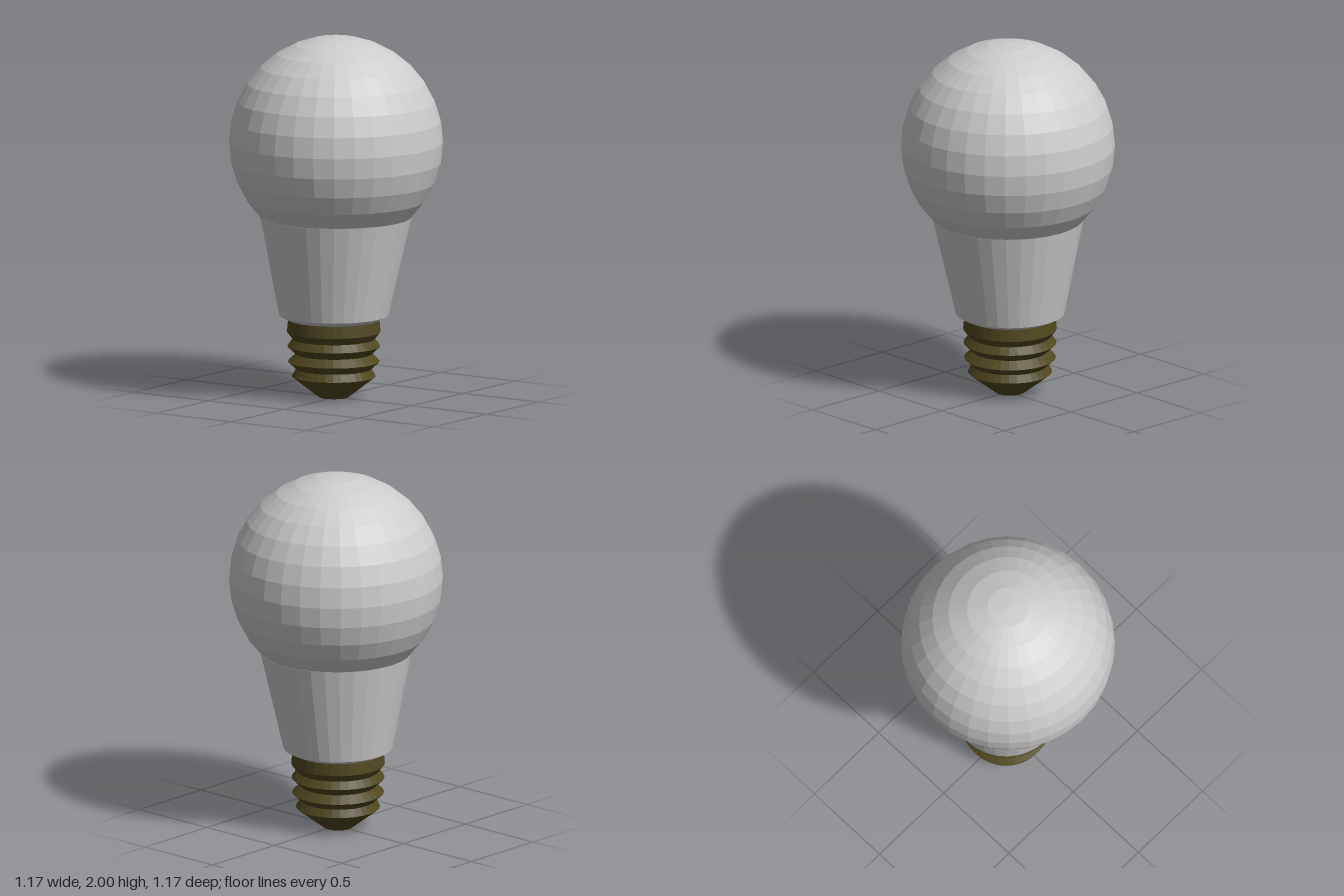
import * as THREE from 'three';

const SIDES = 32;
const LEAN = -0.015; // the lower body sits slightly off the globe's axis

// Faceted turned part; profile is [radius, height] from bottom to top
function turned(name, profile, material) {
  const points = profile.map(([r, y]) => new THREE.Vector2(r, y));
  const geometry = new THREE.LatheGeometry(points, SIDES);
  const pos = geometry.attributes.position;
  for (let i = 0; i < pos.count; i++) {
    const t = THREE.MathUtils.clamp((1 - pos.getY(i)) / 0.545, 0, 1);
    pos.setX(i, pos.getX(i) + LEAN * t);
  }
  geometry.computeVertexNormals();
  const mesh = new THREE.Mesh(geometry, material);
  mesh.name = name;
  return mesh;
}

export function createModel() {
  const group = new THREE.Group();
  group.name = 'lightBulb';

  const frosted = new THREE.MeshStandardMaterial({ color: 0xcccccc });
  frosted.name = 'frostedGrey';
  const brass = new THREE.MeshStandardMaterial({ color: 0x4f4820 });
  brass.name = 'darkBrass';
  for (const m of [frosted, brass]) m.flatShading = true;

  // Globe, open where it meets the neck
  const globe = new THREE.Mesh(
    new THREE.SphereGeometry(0.585, SIDES, 12, 0, Math.PI * 2, 0, Math.PI * 0.75),
    frosted
  );
  globe.name = 'globe';
  globe.position.y = 1.415;
  group.add(globe);

  // Tapered neck with a small bevelled lip underneath
  group.add(turned('neck', [[0.24, 0.43], [0.25, 0.43], [0.299, 0.455], [0.414, 1.0]], frosted));

  // Screw base: contact tip, then alternating grooves and ridges
  group.add(turned('screwBase', [
    [0, 0], [0.08, 0], [0.23, 0.116], [0.206, 0.157], [0.251, 0.198], [0.209, 0.24],
    [0.254, 0.283], [0.225, 0.323], [0.256, 0.363], [0.25, 0.43],
  ], brass));

  return group;
}
